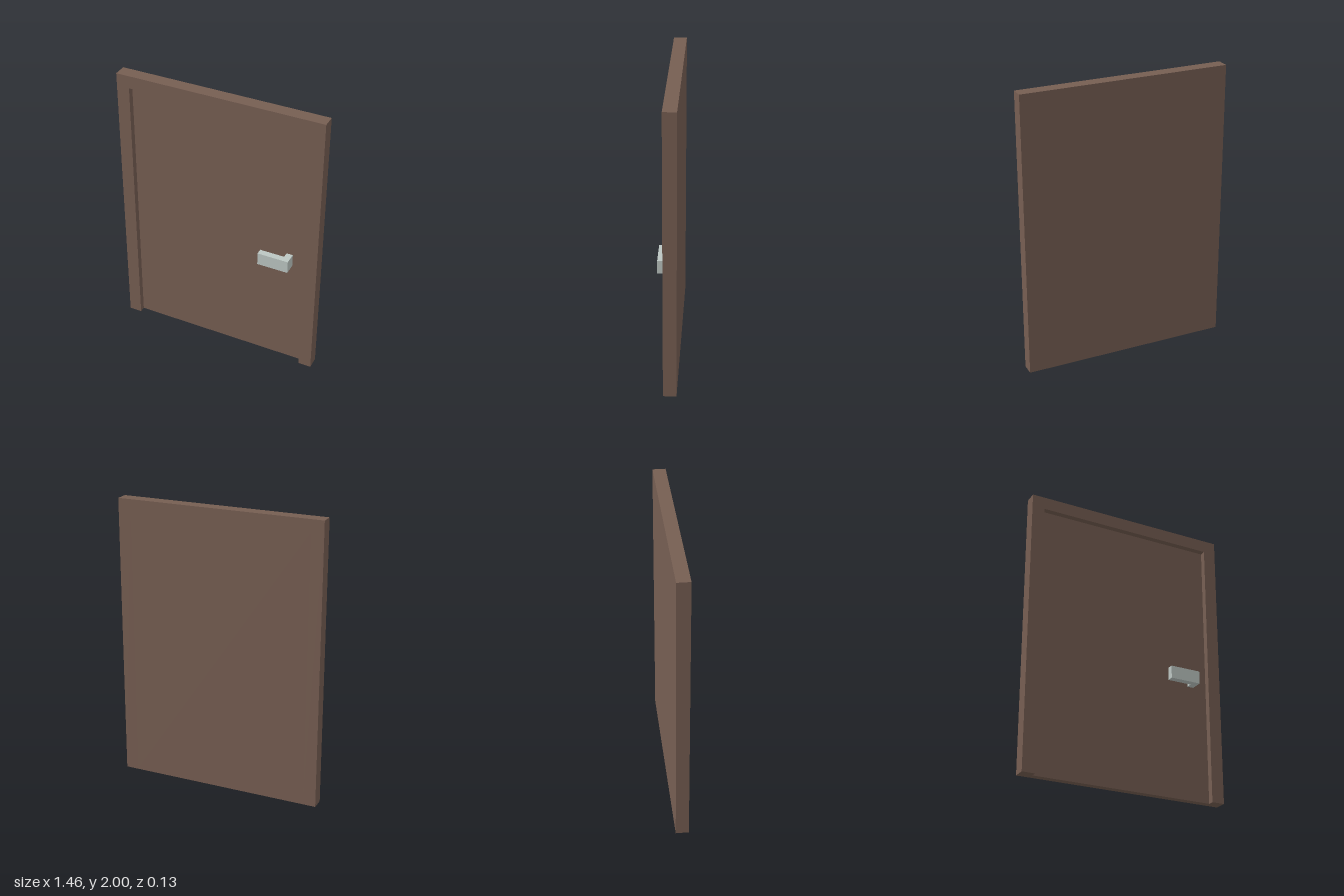
import * as THREE from 'three';

const BACK = -0.07, FRONT = 0.02, LEAF_FRONT = -0.022;

export function createModel() {
  const wood = new THREE.MeshStandardMaterial({ color: 0x765e52 });
  wood.name = 'brown wood';
  const metal = new THREE.MeshStandardMaterial({ color: 0xbcc6c2 });
  metal.name = 'pale metal';

  const model = new THREE.Group();
  model.name = 'door';

  // Extrudes an outline of [a, b] points to the given depth
  const extrude = (name, points, depth, material) => {
    const shape = new THREE.Shape(points.map(([a, b]) => new THREE.Vector2(a, b)));
    const geometry = new THREE.ExtrudeGeometry(shape, { depth, bevelEnabled: false });
    const mesh = new THREE.Mesh(geometry, material);
    mesh.name = name;
    model.add(mesh);
    return mesh;
  };

  // Surround: two jambs and a header, open at the floor
  extrude('frame', [
    [-0.73, 0], [-0.64, 0], [-0.64, 1.91], [0.64, 1.91],
    [0.64, 0], [0.73, 0], [0.73, 2], [-0.73, 2],
  ], FRONT - BACK, wood).position.z = BACK;

  // Door leaf: flush with the back of the frame, recessed at the front
  const leaf = new THREE.Mesh(new THREE.BoxGeometry(1.28, 1.91, LEAF_FRONT - BACK), wood);
  leaf.name = 'doorLeaf';
  leaf.position.set(0, 1.91 / 2, (BACK + LEAF_FRONT) / 2);
  model.add(leaf);

  // L-shaped handle: plan outline (x, -z) stood upright, with its stem on the leaf
  const handle = extrude('handle', [
    [0.32, -0.065], [0.54, -0.065], [0.54, -LEAF_FRONT],
    [0.495, -LEAF_FRONT], [0.495, -0.02], [0.32, -0.02],
  ], 0.09, metal);
  handle.rotation.x = -Math.PI / 2;
  handle.position.y = 0.82;

  return model;
}
